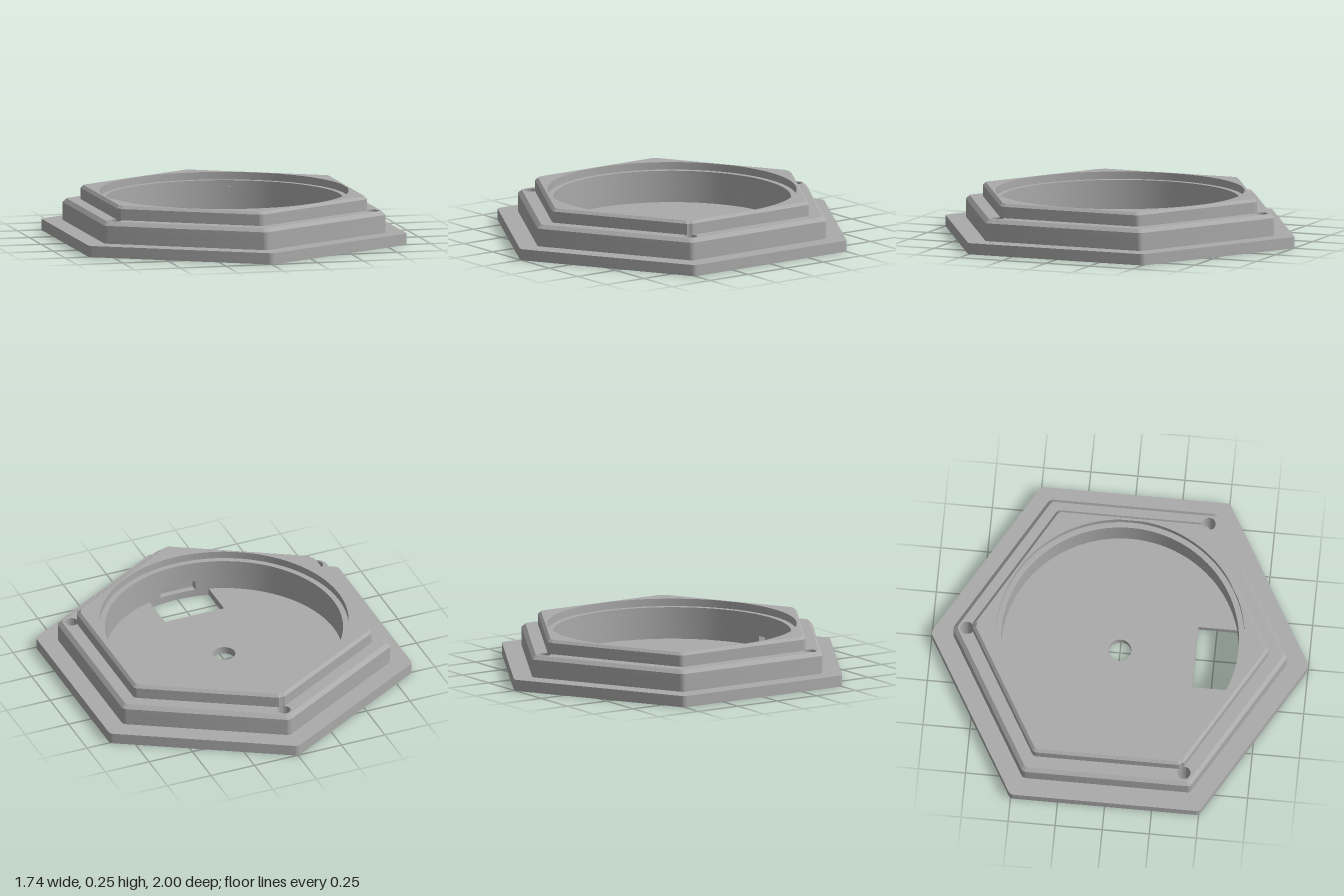
import * as THREE from 'three';
import { toCreasedNormals } from 'three/addons/utils/BufferGeometryUtils.js';

const SCREW_DIST = 0.813, SCREW_R = 0.035, POCKET_R = 0.63, LEDGE_R = 0.66;
const rad = THREE.MathUtils.degToRad;

// Plan outlines are drawn with shape y pointing to the back (-z).
// Hexagon with rounded corners; every other corner may be notched by a screw hole.
function hexagon(apothem, notched = false) {
  const round = 0.03, pts = [];
  for (let k = 0; k < 6; k++) {
    const dir = rad(90 + 60 * k), c = Math.cos(dir), s = Math.sin(dir);
    for (let i = -2; i <= 2; i++) {
      const notch = notched && k % 2 === 0;
      const a = rad(notch ? i * 12.7 : i * 15);
      const r = notch ? SCREW_R : round;
      const u = notch ? SCREW_DIST - r * Math.cos(a) : (apothem - round) / Math.cos(rad(30)) + r * Math.cos(a);
      const v = r * Math.sin(a);
      pts.push(new THREE.Vector2(u * c - v * s, u * s + v * c));
    }
  }
  return pts;
}

function circle(r, x = 0, y = 0) {
  return new THREE.Path().absarc(x, y, r, 0, Math.PI * 2, false);
}

function screwHoles() {
  return [90, 210, 330].map(d => circle(SCREW_R, SCREW_DIST * Math.cos(rad(d)), SCREW_DIST * Math.sin(rad(d))));
}

// Connector opening, ending on the pocket wall
function opening() {
  const a = Math.asin(0.17 / POCKET_R), p = new THREE.Path();
  p.moveTo(0.17, -0.4);
  p.lineTo(-0.17, -0.4);
  p.absarc(0, 0, POCKET_R, -Math.PI / 2 - a, -Math.PI / 2 + a, false);
  p.closePath();
  return p;
}

// Pocket circle with a shallow connector recess at the front
function recessedPocket() {
  const a = Math.asin(0.1 / POCKET_R), p = new THREE.Path();
  p.moveTo(-0.1, -0.66);
  p.lineTo(0.1, -0.66);
  p.absarc(0, 0, POCKET_R, -Math.PI / 2 + a, 1.5 * Math.PI - a, false);
  p.closePath();
  return p;
}

function hexDistance(x, z) {
  return Math.max(...[0, 60, 120].map(d => Math.abs(x * Math.cos(rad(d)) + z * Math.sin(rad(d)))));
}

export function createModel() {
  const model = new THREE.Group();
  model.name = 'hexagonalHousing';
  const grey = new THREE.MeshStandardMaterial({ color: 0xaaaaaa });
  grey.name = 'grey';

  // One horizontal slab; a chamfer pulls the outer top edge inward
  function layer(name, apothem, y0, y1, holes, { notched = false, chamfer = 0 } = {}) {
    const shape = new THREE.Shape(hexagon(apothem, notched));
    shape.holes.push(...holes);
    const geo = new THREE.ExtrudeGeometry(shape, { depth: y1 - y0, bevelEnabled: false, curveSegments: 64 });
    geo.rotateX(-Math.PI / 2);
    const p = geo.attributes.position, k = (apothem - chamfer) / apothem;
    for (let i = 0; i < p.count; i++) {
      const x = p.getX(i), z = p.getZ(i);
      if (chamfer && p.getY(i) > (y1 - y0) / 2 && hexDistance(x, z) > apothem - 0.02) {
        p.setX(i, x * k);
        p.setZ(i, z * k);
      }
    }
    geo.translate(0, y0, 0);
    const mesh = new THREE.Mesh(toCreasedNormals(geo, 0.5), grey);
    mesh.name = name;
    model.add(mesh);
  }

  // Flange with the pocket floor
  layer('floorPlate', 0.87, 0, 0.04, [circle(0.06), opening(), ...screwHoles()]);
  layer('flange', 0.87, 0.04, 0.06, [recessedPocket(), ...screwHoles()]);

  // Middle tier
  layer('middleTierRecess', 0.77, 0.06, 0.095, [recessedPocket(), ...screwHoles()]);
  layer('middleTier', 0.77, 0.095, 0.155, [circle(POCKET_R), ...screwHoles()]);
  layer('middleTierChamfer', 0.77, 0.155, 0.175, [circle(POCKET_R), ...screwHoles()], { chamfer: 0.02 });

  // Upper tier with the inner ledge
  layer('upperTier', 0.685, 0.175, 0.21, [circle(POCKET_R)], { notched: true });
  layer('upperRim', 0.685, 0.21, 0.235, [circle(LEDGE_R)], { notched: true });
  layer('upperRimChamfer', 0.685, 0.235, 0.25, [circle(LEDGE_R)], { notched: true, chamfer: 0.015 });

  return model;
}
